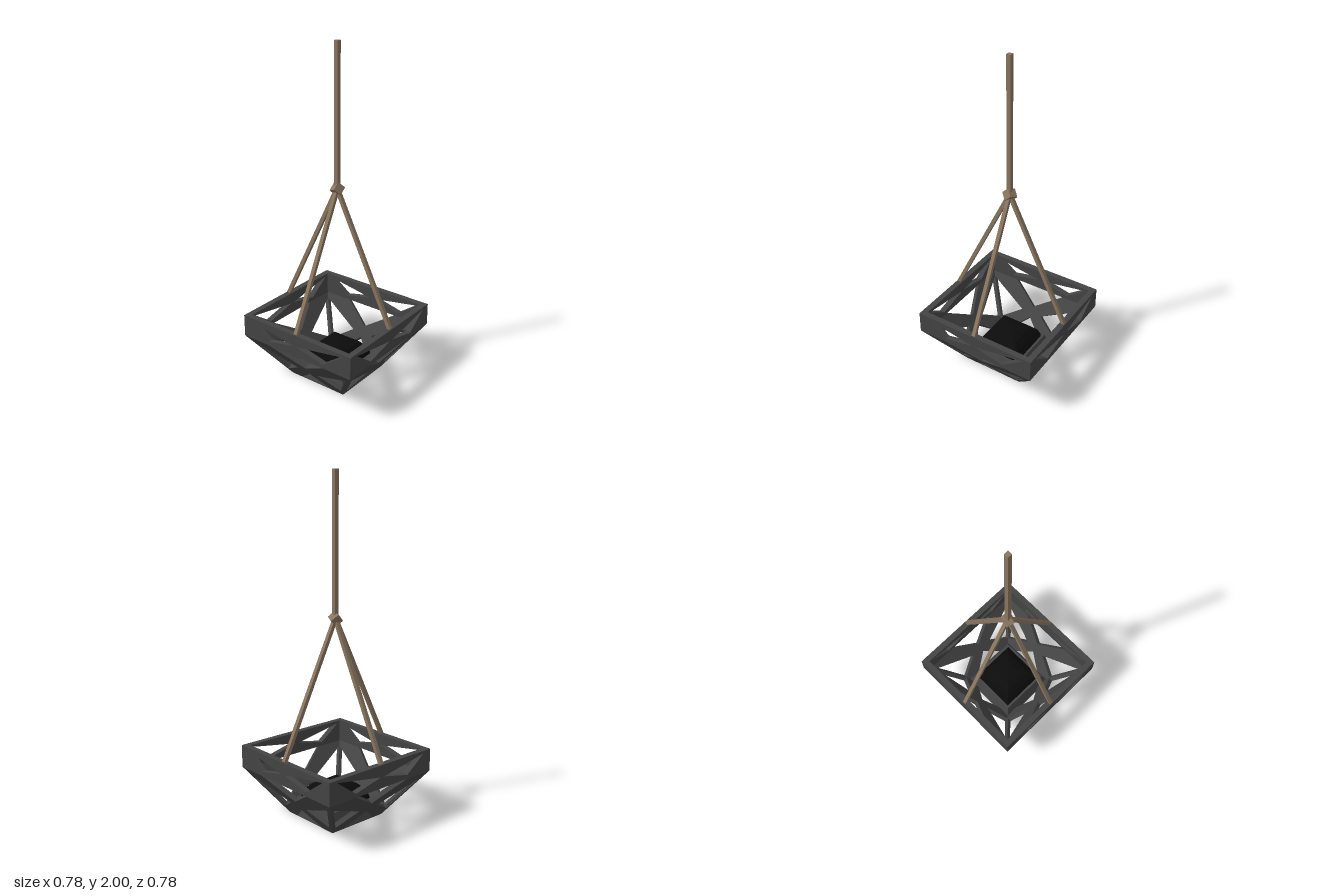
import * as THREE from 'three';

const mat = (color) => new THREE.MeshStandardMaterial({ color, flatShading: true, side: THREE.DoubleSide });
const iron = mat(0x444444), rope = mat(0x8a7660), coal = mat(0x0c0c0c);

const UP = new THREE.Vector3(0, 1, 0);

function add(parent, name, geometry, material) {
  const mesh = new THREE.Mesh(geometry, material);
  mesh.name = name;
  parent.add(mesh);
  return mesh;
}

// Flat plate with holes, its outer face on z = 0
function plate(outline, holes, depth) {
  const vec = (p) => new THREE.Vector2(p[0], p[1]);
  const shape = new THREE.Shape(outline.map(vec));
  holes.forEach((h) => shape.holes.push(new THREE.Path(h.map(vec))));
  return new THREE.ExtrudeGeometry(shape, { depth, bevelEnabled: false }).translate(0, 0, -depth);
}

const mirror = (pts) => pts.map(([x, y]) => [-x, y]).reverse();

// Square-plan solid of revolution; radii are half widths
function squareLathe(profile) {
  const pts = profile.map(([r, y]) => new THREE.Vector2(r * Math.SQRT2, y));
  return new THREE.LatheGeometry(pts, 4, Math.PI / 4);
}

// Square rope between two points
function ropeBetween(a, b, width) {
  const dir = b.clone().sub(a);
  const g = new THREE.BoxGeometry(width, dir.length(), width);
  g.applyQuaternion(new THREE.Quaternion().setFromUnitVectors(UP, dir.clone().normalize()));
  const mid = a.clone().add(b).multiplyScalar(0.5);
  return g.translate(mid.x, mid.y, mid.z);
}

export function createModel() {
  const model = new THREE.Group();
  model.name = 'hangingBrazier';

  const TOP = 0.415, MID = 0.28, R = 0.39, BASE = 0.193;

  // Upright band panel with a bow-tie opening
  const bandHole = [[-0.335, 0.40], [-0.2, 0.303], [-0.012, 0.345]];
  const bandGeo = plate(
    [[-R, MID], [R, MID], [R, TOP], [-R, TOP]],
    [bandHole, mirror(bandHole)], 0.036
  ).translate(0, 0, R);

  // Leaning lower panel: cross brace with corner struts, open above and below
  const lean = Math.atan2(R - BASE, MID);
  const k = 1 / Math.cos(lean);
  const sideHole = [[-0.335, 0.235], [-0.2, 0.045], [-0.07, 0.125]];
  const scale = (pts) => pts.map(([x, y]) => [x, y * k]);
  const braceGeo = plate(
    scale([[-BASE, 0], [-0.12, 0], [0, 0.1], [0.12, 0], [BASE, 0],
      [R, MID], [0.2, MID], [0, 0.16], [-0.2, MID], [-R, MID]]),
    [scale(sideHole), scale(mirror(sideHole))], 0.028
  ).rotateX(lean).translate(0, 0, BASE);

  // Four sides, each with its suspension rope
  const ropeGeo = ropeBetween(new THREE.Vector3(0, 0.415, 0.377), new THREE.Vector3(0, 1.18, 0), 0.022);
  for (let i = 0; i < 4; i++) {
    const side = new THREE.Group();
    side.name = 'basketSide';
    side.rotation.y = i * Math.PI / 2;
    add(side, 'bandPanel', bandGeo, iron);
    add(side, 'crossBrace', braceGeo, iron);
    add(side, 'suspensionRope', ropeGeo, rope);
    model.add(side);
  }

  // Fire pan and the coals heaped in it
  add(model, 'firePan', squareLathe([[0, 0], [BASE, 0], [0.16, 0.1], [0.145, 0.1], [0.14, 0.07]]), iron);
  add(model, 'coals', squareLathe([[0.143, 0.085], [0.142, 0.115], [0.125, 0.155], [0.095, 0.188], [0.05, 0.208], [0, 0.21]]), coal);

  // Knot and main rope
  const knot = add(model, 'knot', new THREE.BoxGeometry(0.052, 0.052, 0.052), rope);
  knot.position.y = 1.177;
  knot.rotation.set(0.75, 0, 0.5);
  add(model, 'mainRope', new THREE.BoxGeometry(0.026, 0.823, 0.026).translate(0, 1.5885, 0), rope);

  return model;
}
